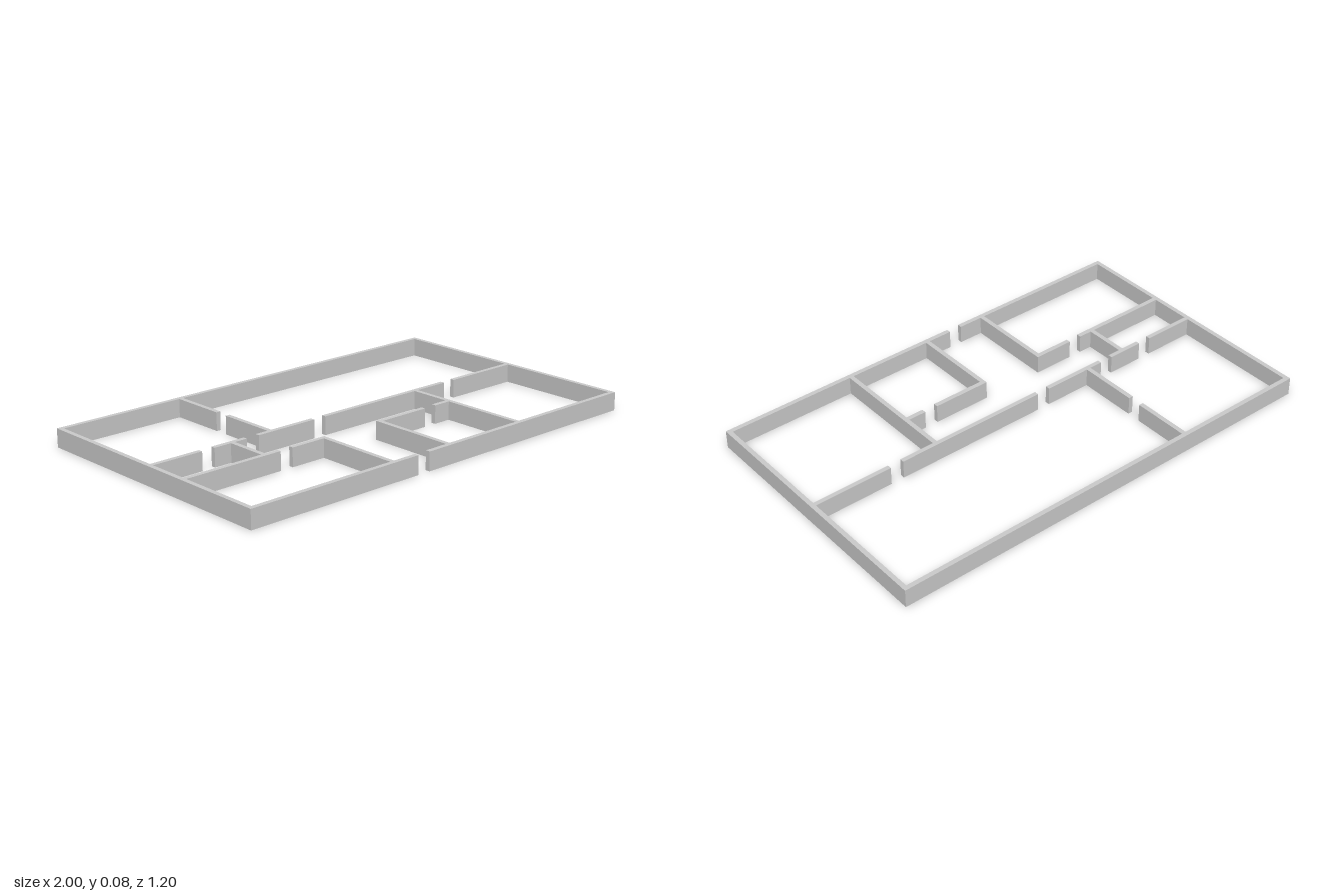
import * as THREE from 'three';

const HEIGHT = 0.08;
const T = 0.02; // wall thickness

export function createModel() {
  const model = new THREE.Group();
  model.name = 'floorPlanWalls';
  const material = new THREE.MeshStandardMaterial({ color: 0xcccccc });

  function box(group, name, w, d, x, z) {
    const mesh = new THREE.Mesh(new THREE.BoxGeometry(w, HEIGHT, d), material);
    mesh.name = name;
    mesh.position.set(x, HEIGHT / 2, z);
    group.add(mesh);
  }

  // One wall line at a fixed z (along x) or fixed x (along z); gaps between spans are doorways
  function wall(name, axis, at, spans) {
    const group = new THREE.Group();
    group.name = name;
    spans.forEach(([a, b], i) => {
      const mid = (a + b) / 2;
      if (axis === 'x') box(group, `${name}Section${i + 1}`, b - a, T, mid, at);
      else box(group, `${name}Section${i + 1}`, T, b - a, at, mid);
    });
    model.add(group);
  }

  // Outer walls, with the entrance in the front
  wall('backWall', 'x', -0.588, [[-1, 1]]);
  wall('frontWall', 'x', 0.588, [[-1, -0.18], [-0.12, 1]]);
  wall('leftWall', 'z', 0.99, [[-0.578, 0.578]]);
  wall('rightWall', 'z', -0.99, [[-0.578, 0.578]]);

  // Long inner walls parallel to the front
  wall('middleWall', 'x', 0, [[-0.98, -0.75], [-0.69, -0.53], [-0.47, -0.18], [-0.12, 0.57], [0.63, 0.98]]);
  wall('rightRoomWall', 'x', 0.2, [[-0.98, -0.53], [-0.47, -0.29]]);
  wall('centreRoomWall', 'x', 0.2, [[-0.01, 0.25], [0.31, 0.39]]);

  // Cross walls
  wall('backDivider', 'z', -0.4, [[-0.578, -0.33], [-0.27, -0.01]]);
  wall('closetDivider', 'z', -0.6, [[0.01, 0.19]]);
  wall('hallRightWall', 'z', -0.3, [[0.21, 0.578]]);
  wall('hallLeftWall', 'z', 0, [[0.21, 0.578]]);
  wall('leftRoomDivider', 'z', 0.4, [[0.01, 0.578]]);

  return model;
}
